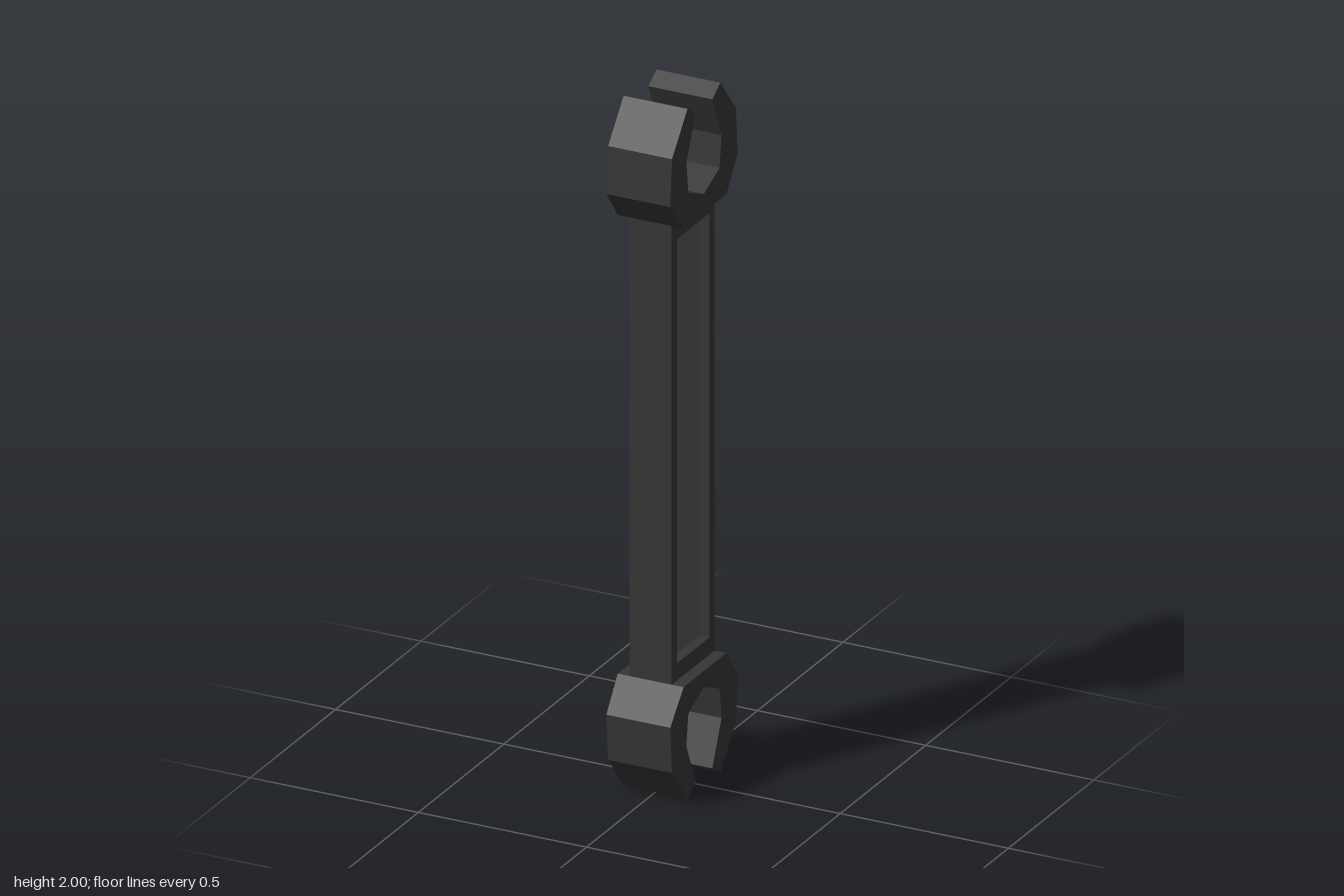
import * as THREE from 'three';

const dark = new THREE.MeshStandardMaterial({ color: 0x363636, flatShading: true });
const light = new THREE.MeshStandardMaterial({ color: 0x565656, flatShading: true });

// Extrude a side profile (z, y) symmetrically across x
function slab(shape, width) {
  const geo = new THREE.ExtrudeGeometry(shape, { depth: width, bevelEnabled: false });
  return geo.translate(0, 0, -width / 2).rotateY(Math.PI / 2);
}

const rectangle = (w, y0, y1) => [[-w, y0], [w, y0], [w, y1], [-w, y1]].map(p => new THREE.Vector2(...p));

// Open-ended jaw, centred on the shaft, y measured from the model's middle
function jawGeometry() {
  const half = [
    [0.125, 0.665], [0.197, 0.755], [0.187, 0.89], [0.096, 1.0],
    [0.049, 0.97], [0.103, 0.845], [0.091, 0.755],
  ];
  const mirrored = half.map(([z, y]) => [-z, y]).reverse();
  const outline = [...half, [0, 0.715], ...mirrored].map(p => new THREE.Vector2(...p));
  const geo = slab(new THREE.Shape(outline), 0.19);
  // The root of the jaw is very slightly wider
  const pos = geo.attributes.position;
  for (let i = 0; i < pos.count; i++) {
    if (pos.getY(i) < 0.67) pos.setX(i, Math.sign(pos.getX(i)) * 0.098);
  }
  geo.computeVertexNormals();
  return geo;
}

export function createModel() {
  const model = new THREE.Group();
  model.name = 'doubleEndedWrench';
  const add = (name, geo, mat) => {
    const mesh = new THREE.Mesh(geo, mat);
    mesh.name = name;
    mesh.position.y = 1;
    model.add(mesh);
    return mesh;
  };

  // Handle: a frame with a recessed panel on each broad side
  const frame = new THREE.Shape(rectangle(0.125, -0.668, 0.668));
  frame.holes.push(new THREE.Path(rectangle(0.095, -0.615, 0.615)));
  add('handleFrame', slab(frame, 0.125), dark);
  add('handlePanel', new THREE.BoxGeometry(0.07, 1.23, 0.19), light);

  // Jaws at both ends
  const jaw = jawGeometry();
  add('upperJaw', jaw, dark);
  add('lowerJaw', jaw, dark).rotation.x = Math.PI;

  return model;
}
